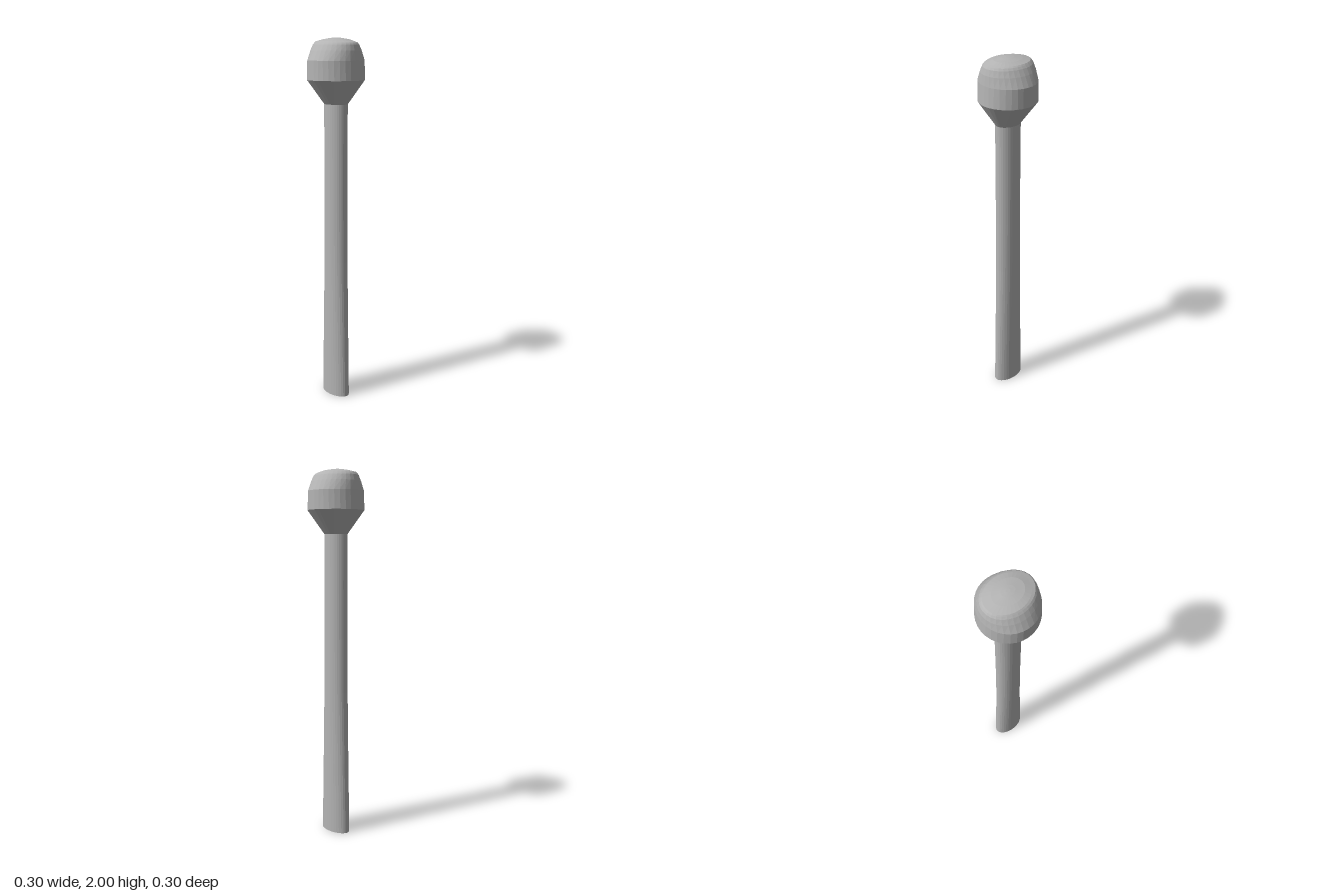
import * as THREE from 'three';

const SIDES = 32;

// Loft through elliptical rings [y, radiusX, radiusZ, centreZ], listed bottom to top
function loft(rings, capBottom = false, capTop = false) {
  const pos = [], idx = [];
  const ringAt = ([y, rx, rz, cz = 0]) => {
    for (let i = 0; i < SIDES; i++) {
      const a = (i / SIDES) * Math.PI * 2;
      pos.push(Math.cos(a) * rx, y, Math.sin(a) * rz + cz);
    }
  };
  rings.forEach(ringAt);
  for (let r = 0; r < rings.length - 1; r++) {
    for (let i = 0; i < SIDES; i++) {
      const j = (i + 1) % SIDES;
      const a = r * SIDES + i, b = r * SIDES + j;
      idx.push(a, a + SIDES, b, b, a + SIDES, b + SIDES);
    }
  }
  const top = (rings.length - 1) * SIDES;
  for (let i = 1; i < SIDES - 1; i++) {
    if (capBottom) idx.push(0, i, i + 1);
    if (capTop) idx.push(top, top + i + 1, top + i);
  }
  const indexed = new THREE.BufferGeometry();
  indexed.setAttribute('position', new THREE.Float32BufferAttribute(pos, 3));
  indexed.setIndex(idx);
  const g = indexed.toNonIndexed();
  g.computeVertexNormals(); // faceted
  return g;
}

export function createModel() {
  const group = new THREE.Group();
  group.name = 'leverWithKnob';
  const grey = new THREE.MeshStandardMaterial({ color: 0xb4b4b4 });
  grey.name = 'plain grey';

  const add = (name, geometry) => {
    const mesh = new THREE.Mesh(geometry, grey);
    mesh.name = name;
    group.add(mesh);
  };

  // Oval stem, widening front to back towards its foot
  add('stem', loft([
    [0, 0.055, 0.094], [0.2, 0.055, 0.089], [0.4, 0.055, 0.084],
    [0.6, 0.055, 0.079], [0.8, 0.055, 0.075], [1.1, 0.055, 0.072],
    [1.4, 0.055, 0.071], [1.66, 0.055, 0.071],
  ], true));

  // Flared collar under the knob
  add('knobCollar', loft([[1.66, 0.055, 0.071], [1.785, 0.152, 0.152]]));

  // Round body pinching to an oval shoulder
  add('knobBody', loft([
    [1.785, 0.152, 0.152], [1.885, 0.152, 0.147],
    [1.935, 0.127, 0.141], [1.965, 0.109, 0.133], [1.975, 0.1, 0.126],
  ]));

  // Shallow domed top with a softened front edge
  add('knobTop', loft([
    [1.975, 0.1, 0.126], [1.981, 0.093, 0.113, -0.006],
    [1.991, 0.062, 0.078], [1.998, 0.025, 0.034], [2, 0.008, 0.011],
  ], false, true));

  return group;
}
